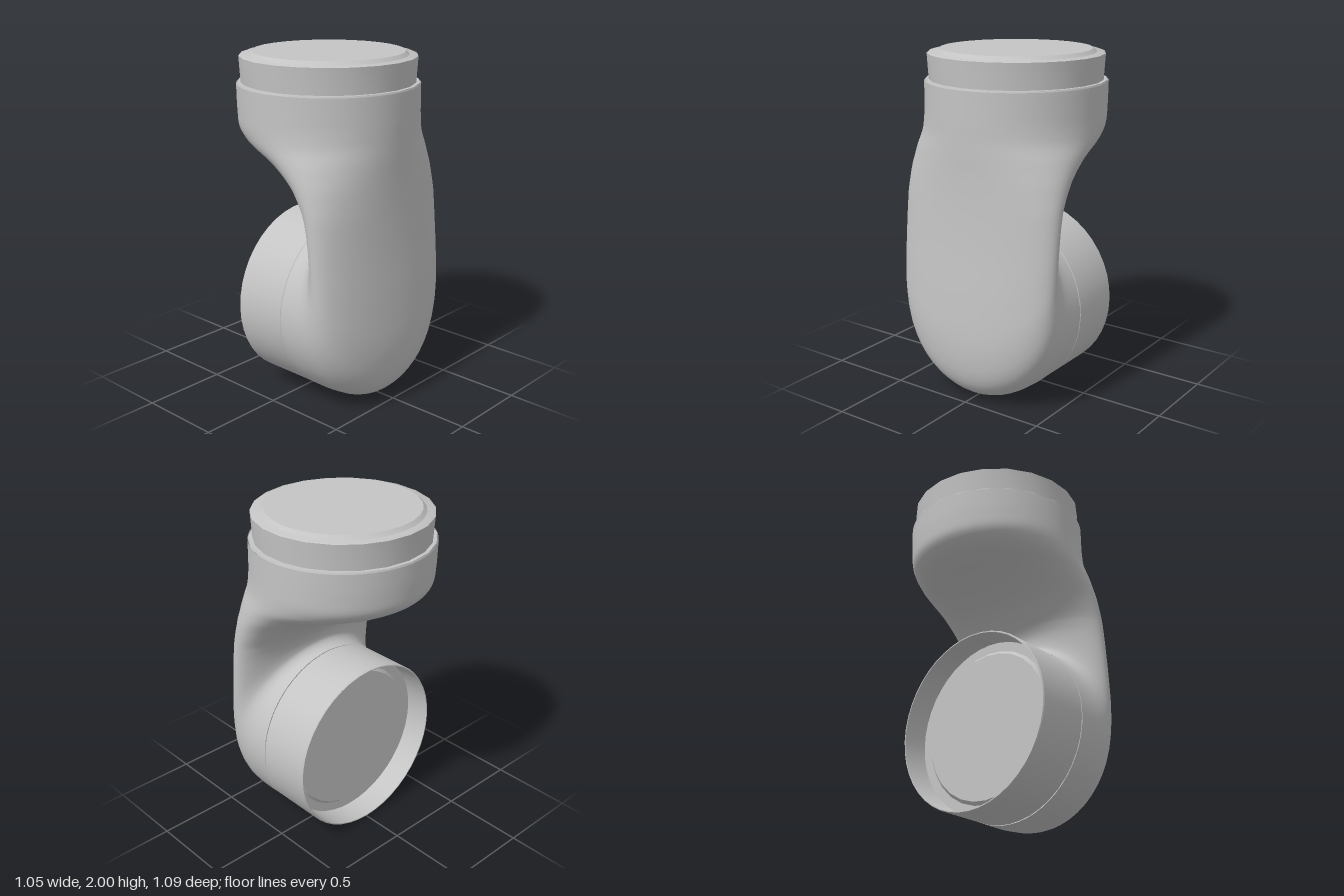
import * as THREE from 'three';
import { toCreasedNormals } from 'three/addons/utils/BufferGeometryUtils.js';

const grey = new THREE.MeshStandardMaterial({ color: 0xc4c4c4, side: THREE.DoubleSide });
grey.name = 'housing grey';

function add(parent, name, geometry) {
  const mesh = new THREE.Mesh(geometry, grey);
  mesh.name = name;
  parent.add(mesh);
  return mesh;
}

function turned(profile, sides) {
  const pts = profile.map(([r, y]) => new THREE.Vector2(r, y));
  return toCreasedNormals(new THREE.LatheGeometry(pts, sides), 0.5);
}

// Elbow: a fan of elliptical cross-sections, each spanning from the inner bend to the outer wall.
// Station: inner z, inner y, outer z, outer y
const stations = [
  [0.10, 1.055, 0.10, 0.00],
  [0.13, 1.057, 0.28, 0.00],
  [0.155, 1.07, 0.41, 0.025],
  [0.17, 1.09, 0.50, 0.12],
  [0.172, 1.11, 0.542, 0.32],
  [0.168, 1.14, 0.535, 0.62],
  [0.155, 1.17, 0.515, 0.92],
  [0.12, 1.215, 0.505, 1.15],
  [0.00, 1.32, 0.503, 1.33],
  [-0.20, 1.42, 0.506, 1.46],
  [-0.43, 1.50, 0.508, 1.56],
  [-0.515, 1.565, 0.51, 1.65],
  [-0.533, 1.66, 0.51, 1.73],
  [-0.54, 1.82, 0.51, 1.82],
];

function elbowGeometry() {
  const rows = 52, sides = 56, halfWidth = 0.526;
  const curve = (f) => new THREE.CatmullRomCurve3(stations.map(f));
  const inner = curve((s) => new THREE.Vector3(0, s[1], s[0]));
  const outer = curve((s) => new THREE.Vector3(0, s[3], s[2]));
  const pos = [], index = [];
  for (let i = 0; i <= rows; i++) {
    const a = inner.getPoint(i / rows), b = outer.getPoint(i / rows);
    const mid = a.clone().add(b).multiplyScalar(0.5);
    const half = b.clone().sub(a).multiplyScalar(0.5);
    for (let j = 0; j < sides; j++) {
      const q = (j / sides) * Math.PI * 2;
      const v = Math.sin(q);
      pos.push(Math.cos(q) * halfWidth, mid.y + half.y * v, mid.z + half.z * v);
      if (i < rows) {
        const k = i * sides, m = (j + 1) % sides;
        index.push(k + j, k + sides + j, k + m, k + m, k + sides + j, k + sides + m);
      }
    }
  }
  const g = new THREE.BufferGeometry();
  g.setAttribute('position', new THREE.Float32BufferAttribute(pos, 3));
  g.setIndex(index);
  g.computeVertexNormals();
  return g;
}

export function createModel() {
  const model = new THREE.Group();
  model.name = 'elbowJoint';

  add(model, 'elbowHousing', elbowGeometry());

  // Upper collar with its shoulder and raised cap
  const top = new THREE.Group();
  top.name = 'upperFlange';
  top.position.z = -0.015;
  model.add(top);
  add(top, 'upperCollar', turned([
    [0.525, 1.815], [0.52, 1.828], [0.499, 1.828], [0.508, 1.975], [0.498, 1.98], [0, 1.98],
  ], 22));
  add(top, 'upperCap', turned([[0.46, 1.978], [0.437, 2], [0, 2]], 28));

  // Lower socket: an open sleeve facing backwards with a recessed cap
  const socket = new THREE.Group();
  socket.name = 'lowerSocket';
  socket.position.y = 0.528;
  socket.rotation.x = -Math.PI / 2;
  model.add(socket);
  add(socket, 'socketSleeve', turned([
    [0.515, -0.105], [0.527, -0.094], [0.527, 0.231], [0.523, 0.238],
    [0.517, 0.238], [0.51, 0.085], [0, 0.085],
  ], 44));
  add(socket, 'socketCap', turned([[0.455, 0.084], [0.435, 0.105], [0, 0.105]], 28));

  return model;
}
